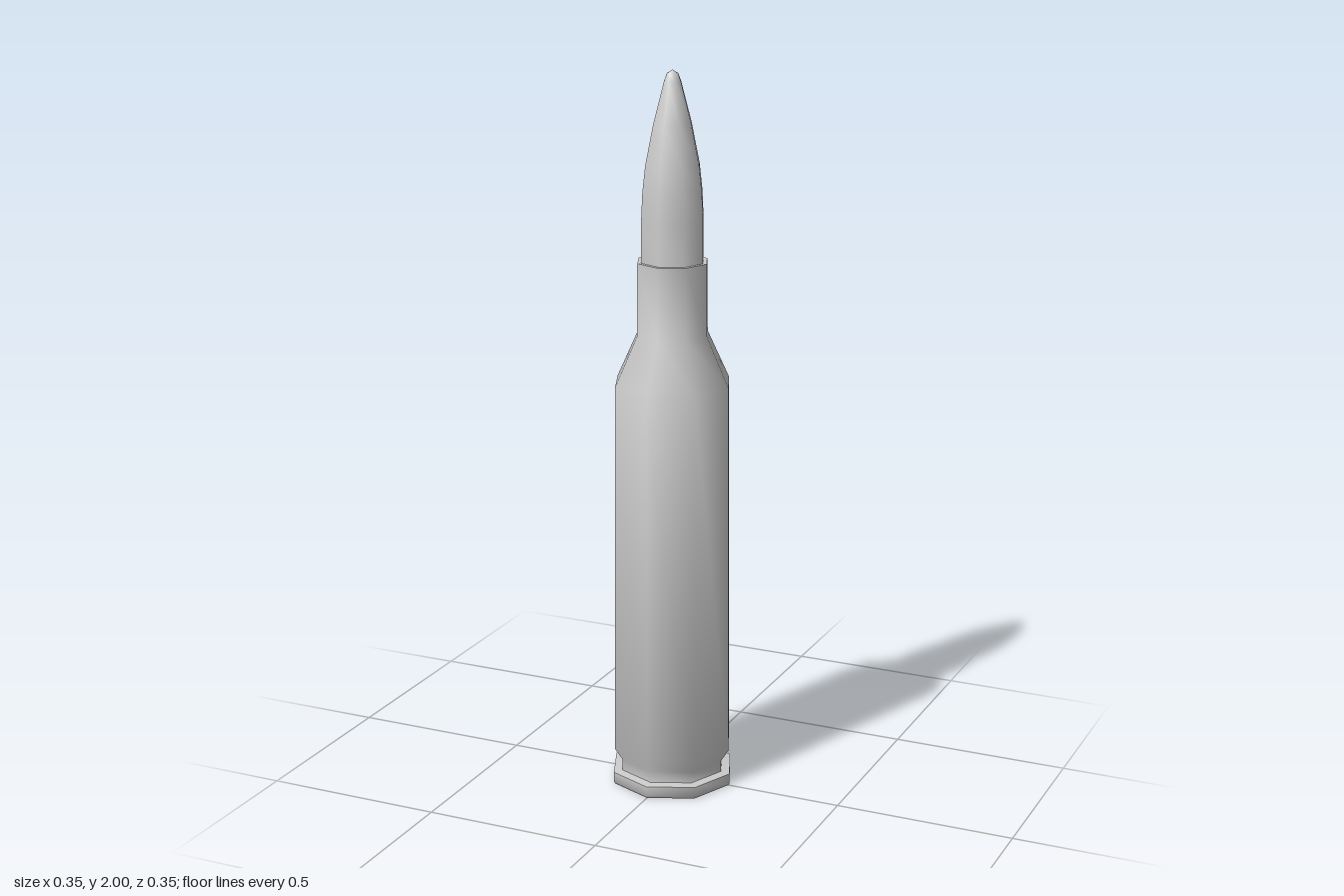
import * as THREE from 'three';
import { toCreasedNormals } from 'three/addons/utils/BufferGeometryUtils.js';

const SIDES = 8;
const material = new THREE.MeshStandardMaterial({ color: 0xcccccc });

// Turned part from [radius, height] pairs, listed bottom to top
function turned(name, profile) {
  const points = profile.map(([r, y]) => new THREE.Vector2(r, y));
  const geometry = toCreasedNormals(new THREE.LatheGeometry(points, SIDES), THREE.MathUtils.degToRad(62));
  const mesh = new THREE.Mesh(geometry, material);
  mesh.name = name;
  return mesh;
}

export function createModel() {
  const group = new THREE.Group();
  group.name = 'cartridge';

  // Case: base, rim, extractor groove, tapered body, shoulder, neck and mouth
  group.add(turned('case', [
    [0, 0], [0.172, 0], [0.176, 0.006], [0.176, 0.035],
    [0.15, 0.038], [0.15, 0.07], [0.172, 0.105],
    [0.165, 1.155], [0.102, 1.29], [0.1, 1.49], [0.085, 1.49],
  ]));

  // Bullet: straight shank seated in the neck, then a curved nose
  group.add(turned('bullet', [
    [0.089, 1.46], [0.089, 1.6], [0.085, 1.68], [0.077, 1.75],
    [0.054, 1.86], [0.024, 1.97], [0.016, 1.99], [0, 2],
  ]));

  return group;
}
